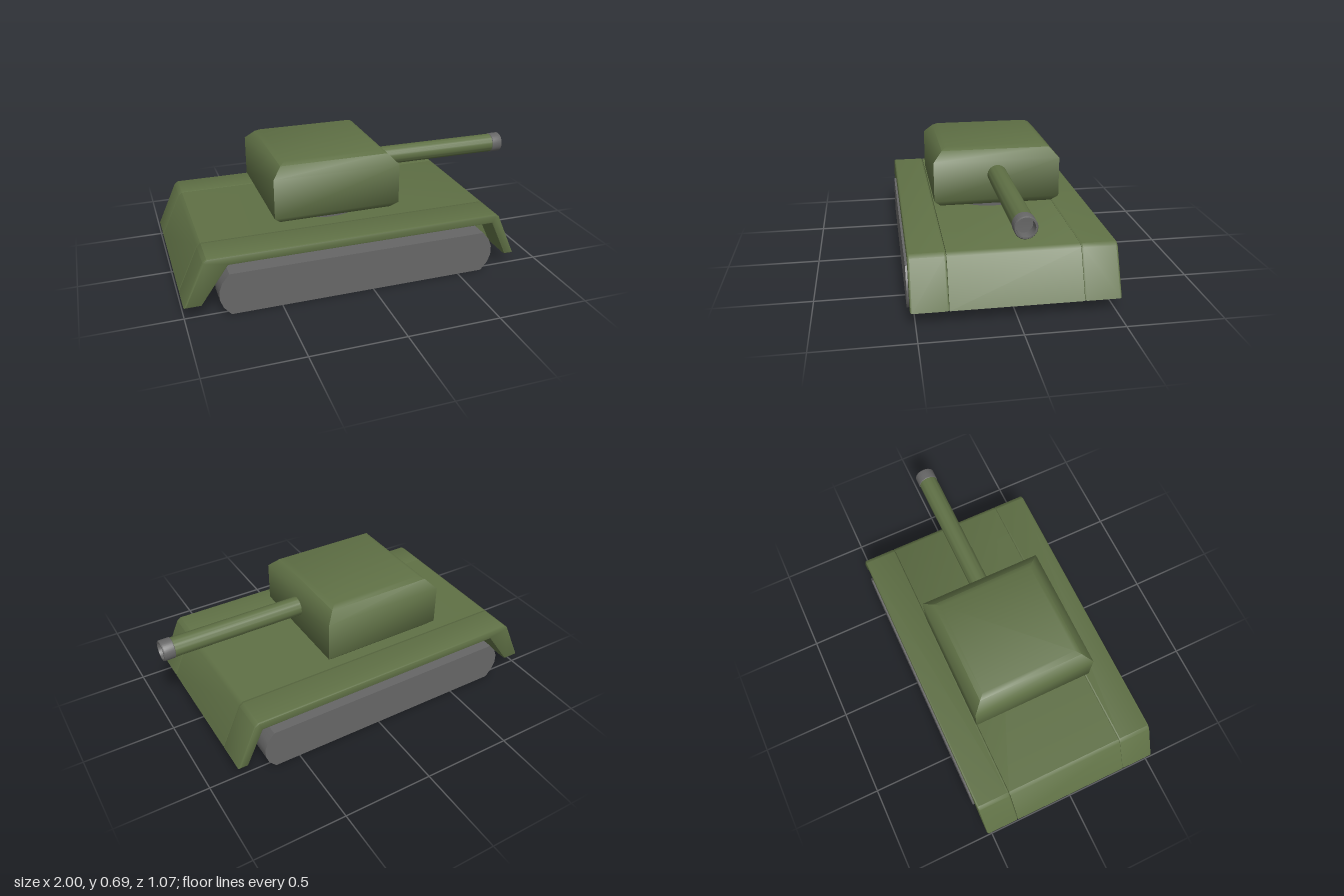
import * as THREE from 'three';
import { toCreasedNormals } from 'three/addons/utils/BufferGeometryUtils.js';

const green = new THREE.MeshStandardMaterial({ color: 0x5f7045 });
const grey = new THREE.MeshStandardMaterial({ color: 0x666666 });
const greyOpen = new THREE.MeshStandardMaterial({ color: 0x666666, side: THREE.DoubleSide });

function addMesh(parent, name, geometry, material) {
  const mesh = new THREE.Mesh(geometry, material);
  mesh.name = name;
  parent.add(mesh);
  return mesh;
}

// Extrude an x/y outline from z0 to z1, optionally with a rounded edge
function slab(points, z0, z1, bevel = 0) {
  const shape = new THREE.Shape(points.map(([x, y]) => new THREE.Vector2(x, y)));
  const geometry = new THREE.ExtrudeGeometry(shape, {
    depth: z1 - z0 - 2 * bevel, bevelEnabled: bevel > 0,
    bevelSize: bevel, bevelOffset: -bevel, bevelThickness: bevel, bevelSegments: 2,
  });
  geometry.translate(0, 0, z0 + bevel);
  return toCreasedNormals(geometry, 0.6);
}

// Rectangular rings stacked upward; each level is [y, inset]
function chamferedBlock(x0, x1, halfZ, levels) {
  const positions = [], index = [];
  for (const [y, d] of levels) {
    positions.push(x0 + d, y, halfZ - d, x1 - d, y, halfZ - d,
      x1 - d, y, d - halfZ, x0 + d, y, d - halfZ);
  }
  for (let r = 0; r < levels.length - 1; r++) {
    for (let i = 0; i < 4; i++) {
      const a = r * 4 + i, b = r * 4 + (i + 1) % 4;
      index.push(a, b, b + 4, a, b + 4, a + 4);
    }
  }
  const t = (levels.length - 1) * 4;
  index.push(t, t + 1, t + 2, t, t + 2, t + 3, 0, 2, 1, 0, 3, 2);
  const geometry = new THREE.BufferGeometry();
  geometry.setAttribute('position', new THREE.Float32BufferAttribute(positions, 3));
  geometry.setIndex(index);
  return toCreasedNormals(geometry, 0.9);
}

// Profile of [radius, x] turned around the gun's axis
function turned(profile) {
  const geometry = new THREE.LatheGeometry(profile.map(([r, x]) => new THREE.Vector2(r, x)), 32);
  geometry.rotateZ(-Math.PI / 2);
  geometry.translate(0, 0.54, 0);
  return toCreasedNormals(geometry, 0.6);
}

export function createModel() {
  const model = new THREE.Group();
  model.name = 'tank';

  const outer = [[-1, 0.07], [-0.89, 0.31], [-0.87, 0.325], [0.715, 0.325], [0.738, 0.31], [0.845, 0.07]];

  // Hull: open underneath, sloped at both ends
  const hullInner = [[0.815, 0.07], [0.71, 0.3], [-0.86, 0.3], [-0.97, 0.07]];
  addMesh(model, 'hull', slab([...outer, ...hullInner], -0.335, 0.335), green);

  // Fender, side wall and track, mirrored to the other side
  const arch = [[0.79, 0.07], [0.695, 0.275], [-0.765, 0.275], [-0.91, 0.07]];
  const wall = [[-0.99, 0.07], [-0.875, 0.315], [0.725, 0.315], [0.835, 0.07]];
  const trackHalf = [[-0.765, 0], [-0.803, 0.045], [-0.82, 0.09], [-0.82, 0.14], [-0.803, 0.185], [-0.765, 0.23]];
  const trackOutline = [...trackHalf, ...trackHalf.map(([x, y]) => [-0.125 - x, y]).reverse()];
  for (const s of [1, -1]) {
    const side = new THREE.Group();
    side.name = s > 0 ? 'leftSide' : 'rightSide';
    side.scale.z = s;
    addMesh(side, 'fender', slab([...outer, ...arch], 0.335, 0.525, 0.01), green);
    addMesh(side, 'sideWall', slab(wall, 0.325, 0.345), green);
    addMesh(side, 'track', slab(trackOutline, 0.405, 0.533), grey);
    model.add(side);
  }

  // Turret and the ring it turns on
  const ring = addMesh(model, 'turretRing', new THREE.CylinderGeometry(0.253, 0.253, 0.075, 48), grey);
  ring.position.set(-0.138, 0.3275, 0);
  addMesh(model, 'turret', chamferedBlock(-0.48, 0.21, 0.345, [
    [0.355, 0.06], [0.364, 0.035], [0.4, 0], [0.618, 0], [0.67, 0.05], [0.685, 0.078],
  ]), green);

  // Gun with a hollow muzzle
  addMesh(model, 'barrel', turned([[0, 0.18], [0.053, 0.18], [0.053, 0.94], [0, 0.94]]), green);
  addMesh(model, 'muzzle', turned([
    [0.05, 0.935], [0.056, 0.94], [0.056, 0.994], [0.052, 1], [0.045, 1], [0.043, 0.99], [0.043, 0.945], [0, 0.942],
  ]), greyOpen);

  return model;
}
